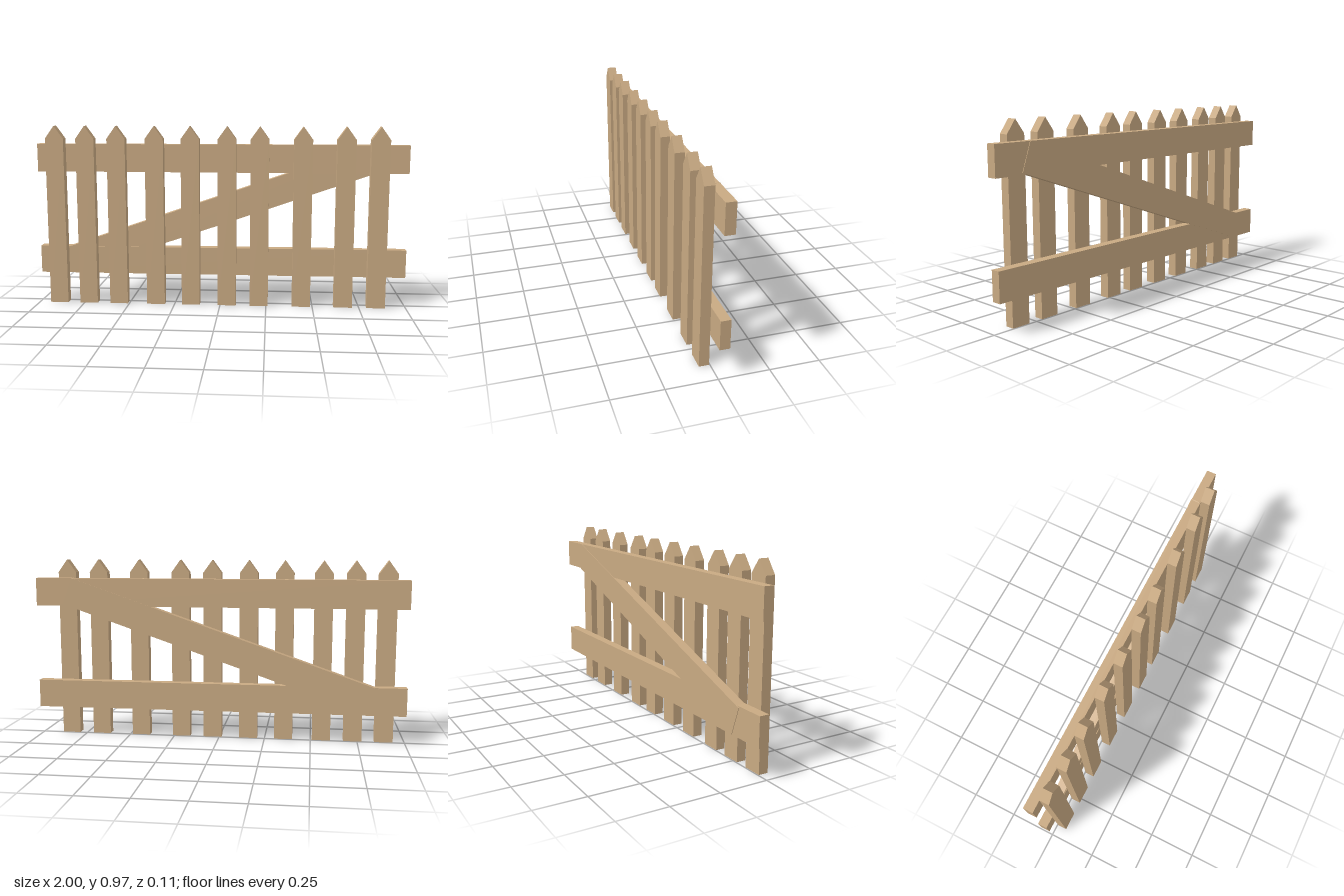
import * as THREE from 'three';

const wood = new THREE.MeshStandardMaterial({ color: 0xc8a982 });
wood.name = 'wood';

export function createModel() {
  const fence = new THREE.Group();
  fence.name = 'picketFence';

  const add = (name, geometry, x, y, z) => {
    const mesh = new THREE.Mesh(geometry, wood);
    mesh.name = name;
    mesh.position.set(x, y, z);
    fence.add(mesh);
    return mesh;
  };

  // Pointed pickets, unevenly spaced along the front
  const half = 0.049, shoulder = 0.902, tip = 0.97;
  const outline = new THREE.Shape([
    new THREE.Vector2(-half, 0),
    new THREE.Vector2(half, 0),
    new THREE.Vector2(half, shoulder),
    new THREE.Vector2(0, tip),
    new THREE.Vector2(-half, shoulder),
  ]);
  const picket = new THREE.ExtrudeGeometry(outline, { depth: 0.05, bevelEnabled: false });
  [-0.89, -0.725, -0.557, -0.352, -0.16, 0.037, 0.211, 0.439, 0.664, 0.84]
    .forEach((x, i) => add(`picket${i + 1}`, picket, x, 0, 0.004));

  // Horizontal rails behind the pickets
  const rail = new THREE.BoxGeometry(2, 0.15, 0.05);
  add('lowerRail', rail, 0, 0.232, -0.025);
  add('upperRail', rail, 0, 0.796, -0.025);

  // Diagonal brace, standing slightly proud of the rails at the back
  const brace = add('diagonalBrace', new THREE.BoxGeometry(1.75, 0.15, 0.05), 0, 0.515, -0.028);
  brace.rotation.z = THREE.MathUtils.degToRad(19.1);

  return fence;
}
